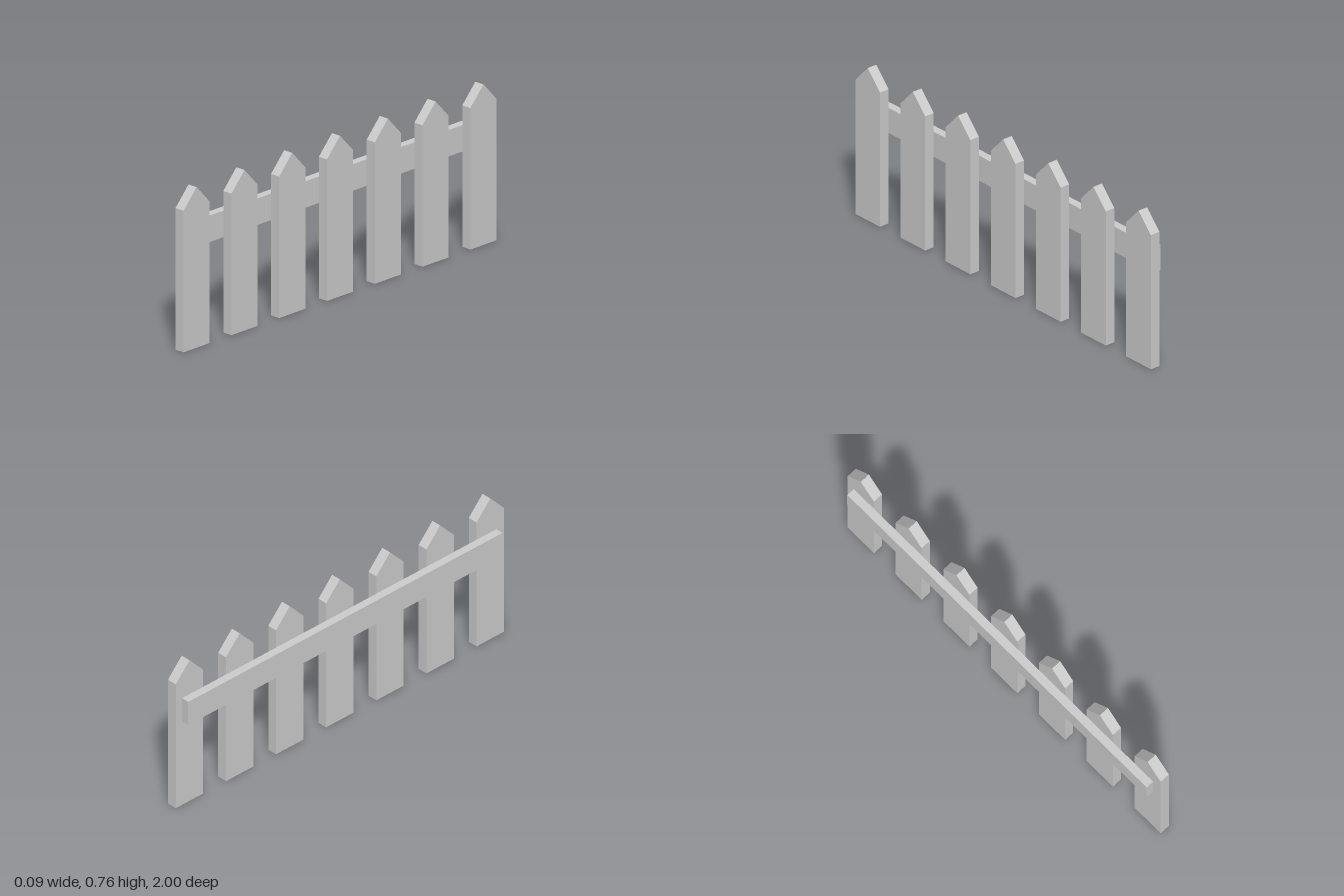
import * as THREE from 'three';

const PICKETS = 7;
const WIDTH = 0.167;
const SHOULDER = 0.668;
const TIP = 0.758;
const INNER = -0.005; // plane where pickets meet the rail

export function createModel() {
  const group = new THREE.Group();
  group.name = 'picketFence';
  const material = new THREE.MeshStandardMaterial({ color: 0xcccccc, flatShading: true });

  // Pointed picket board, turned so its broad face looks along x
  const w = WIDTH / 2;
  const outline = new THREE.Shape([
    new THREE.Vector2(-w, 0),
    new THREE.Vector2(w, 0),
    new THREE.Vector2(w, SHOULDER),
    new THREE.Vector2(0, TIP),
    new THREE.Vector2(-w, SHOULDER),
  ]);
  const board = new THREE.ExtrudeGeometry(outline, { depth: 0.05, bevelEnabled: false });
  board.rotateY(Math.PI / 2);

  // Evenly spaced row of pickets along z
  for (let i = 0; i < PICKETS; i++) {
    const picket = new THREE.Mesh(board, material);
    picket.name = `picket${i + 1}`;
    picket.position.set(INNER, 0, -1 + w + (i * (2 - WIDTH)) / (PICKETS - 1));
    group.add(picket);
  }

  // Single rail behind the pickets
  const rail = new THREE.Mesh(new THREE.BoxGeometry(0.04, 0.125, 1.914), material);
  rail.name = 'rail';
  rail.position.set(INNER - 0.02, 0.5125, -0.005);
  group.add(rail);

  return group;
}
